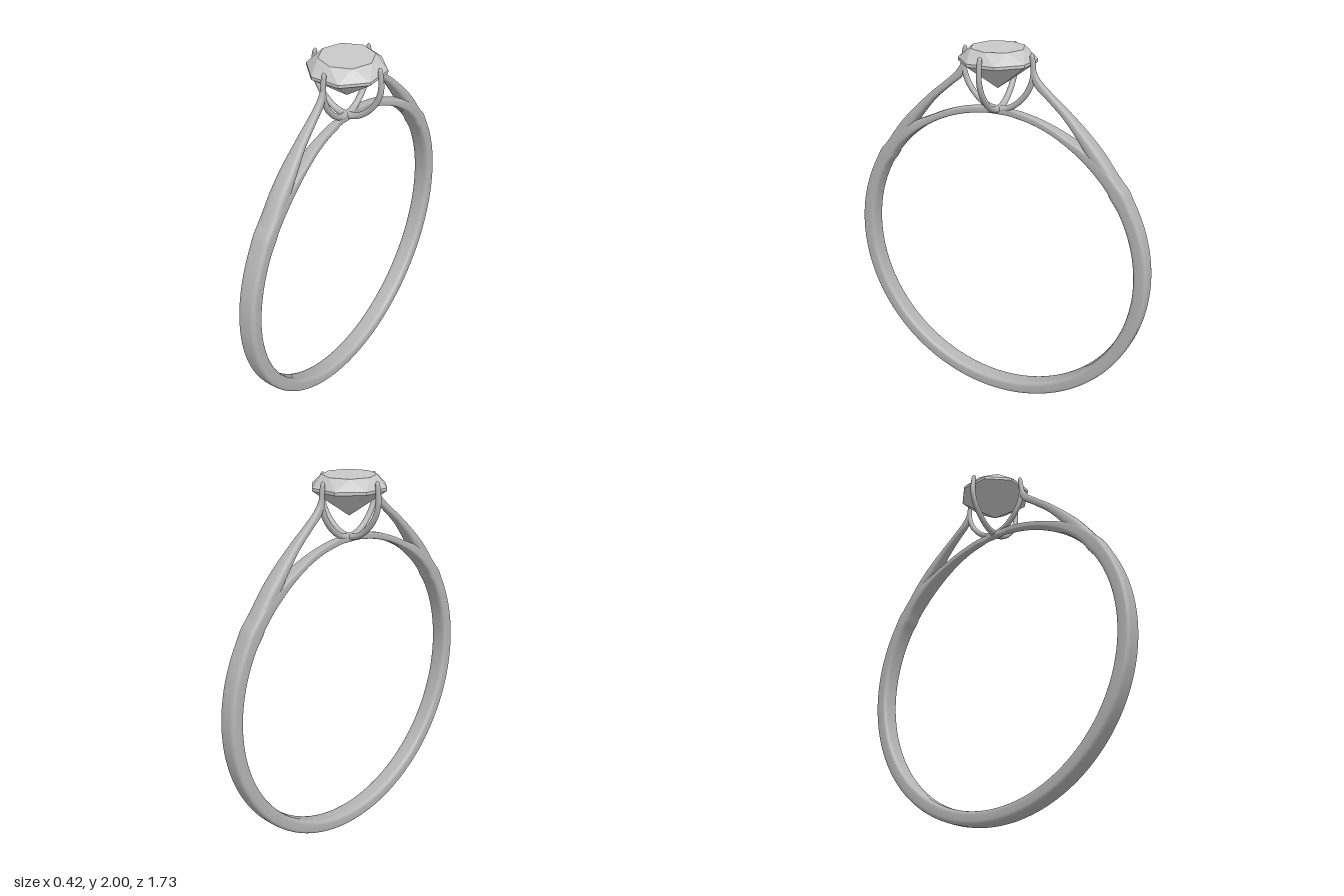
import * as THREE from 'three';
import { ConvexGeometry } from 'three/addons/geometries/ConvexGeometry.js';

// Sweep a rounded section along a path in the XY plane.
// Stations: [x, y, half width (along z), half thickness]; power > 2 squares the section.
function sweep(stations, { closed = false, power = 2, steps = 8, sides = 16 } = {}) {
  const path = new THREE.CatmullRomCurve3(stations.map(s => new THREE.Vector3(s[0], s[1], 0)), closed);
  const size = new THREE.CatmullRomCurve3(stations.map(s => new THREE.Vector3(s[2], s[3], 0)), closed);
  const spans = (closed ? stations.length : stations.length - 1) * steps;
  const rows = closed ? spans : spans + 1;
  const round = v => Math.sign(v) * Math.pow(Math.abs(v), 2 / power);
  const positions = [], index = [];
  for (let i = 0; i < rows; i++) {
    const p = path.getPoint(i / spans), s = size.getPoint(i / spans), t = path.getTangent(i / spans);
    for (let j = 0; j < sides; j++) {
      const a = (j / sides) * Math.PI * 2;
      const n = round(Math.cos(a)) * s.y;
      positions.push(p.x - t.y * n, p.y + t.x * n, round(Math.sin(a)) * s.x);
    }
  }
  for (let i = 0; i < spans; i++) {
    for (let j = 0; j < sides; j++) {
      const k = (j + 1) % sides, next = (i + 1) % rows;
      const a = i * sides + j, b = i * sides + k, c = next * sides + j, d = next * sides + k;
      index.push(a, b, c, b, d, c);
    }
  }
  const geometry = new THREE.BufferGeometry();
  geometry.setAttribute('position', new THREE.Float32BufferAttribute(positions, 3));
  geometry.setIndex(index);
  geometry.computeVertexNormals();
  return geometry;
}

export function createModel() {
  const model = new THREE.Group();
  model.name = 'solitaireRing';
  const metal = new THREE.MeshStandardMaterial({ color: 0xb4b4b4 });
  metal.name = 'metal grey';
  const stone = new THREE.MeshStandardMaterial({ color: 0xc8c8c8 });
  stone.name = 'stone grey';

  function add(name, geometry, material, turn = 0) {
    const mesh = new THREE.Mesh(geometry, material);
    mesh.name = name;
    mesh.rotation.y = turn;
    model.add(mesh);
  }

  // Band: constant inner radius, thinning to a slender bridge under the stone
  const inner = 0.79, centreY = 0.867, count = 48;
  const band = [];
  for (let i = 0; i < count; i++) {
    const a = (i / count) * Math.PI * 2;
    const fromTop = Math.min(a, Math.PI * 2 - a);
    const k = THREE.MathUtils.smoothstep(fromTop, 0.45, 0.85);
    const thick = THREE.MathUtils.lerp(0.036, 0.076, k);
    const width = THREE.MathUtils.lerp(0.021, 0.05, THREE.MathUtils.smoothstep(fromTop, 0.15, 0.8));
    const r = inner + thick / 2;
    band.push([-Math.sin(a) * r, centreY + Math.cos(a) * r, width, thick / 2]);
  }
  add('band', sweep(band, { closed: true, power: 4, steps: 4, sides: 32 }), metal, Math.PI / 2);

  // Shoulders rising from the band to the front and back prongs
  const shoulder = [
    [0.695, 1.31, 0.046, 0.03],
    [0.645, 1.39, 0.049, 0.036],
    [0.567, 1.495, 0.048, 0.037],
    [0.49, 1.59, 0.043, 0.029],
    [0.385, 1.70, 0.029, 0.021],
    [0.285, 1.785, 0.021, 0.019],
    [0.223, 1.84, 0.017, 0.021],
    [0.203, 1.88, 0.014, 0.015],
    [0.197, 1.92, 0.008, 0.008],
  ];
  const shoulderGeometry = sweep(shoulder, { power: 2.8, sides: 24 });
  add('frontShoulder', shoulderGeometry, metal, -Math.PI / 2);
  add('backShoulder', shoulderGeometry, metal, Math.PI / 2);

  // Basket: two crossed U-shaped wires whose ends are the four prongs
  const halfWire = [
    [0.183, 1.988, 0.001, 0.001],
    [0.185, 1.985, 0.007, 0.007],
    [0.188, 1.972, 0.012, 0.012],
    [0.195, 1.92, 0.013, 0.014],
    [0.193, 1.86, 0.014, 0.015],
    [0.165, 1.79, 0.015, 0.015],
    [0.105, 1.722, 0.016, 0.015],
    [0.05, 1.69, 0.018, 0.016],
  ];
  const wire = [
    ...halfWire,
    [0, 1.682, 0.02, 0.018],
    ...halfWire.map(([x, y, w, t]) => [-x, y, w, t]).reverse(),
  ];
  const wireGeometry = sweep(wire);
  add('sideProngs', wireGeometry, metal);
  add('frontAndBackProngs', wireGeometry, metal, Math.PI / 2);

  // Cut stone: octagonal table turned against the girdle, pointed below
  const points = [new THREE.Vector3(0, 1.79, 0)];
  for (let i = 0; i < 8; i++) {
    const a = (i * Math.PI) / 4, g = a + Math.PI / 8;
    points.push(new THREE.Vector3(Math.cos(a) * 0.14, 2, Math.sin(a) * 0.14));
    for (const y of [1.93, 1.945]) points.push(new THREE.Vector3(Math.cos(g) * 0.2, y, Math.sin(g) * 0.2));
  }
  add('stone', new ConvexGeometry(points), stone);

  return model;
}
